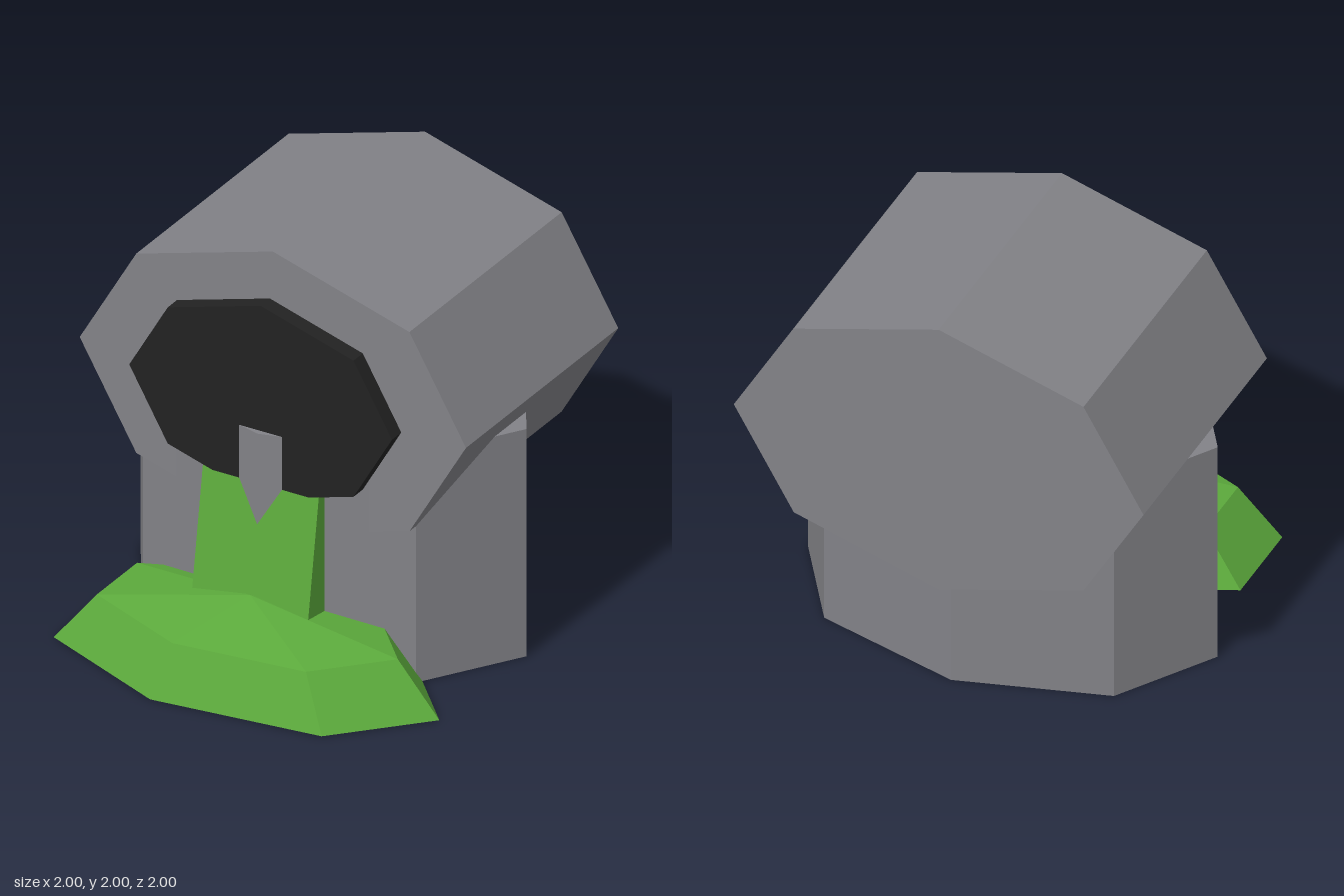
import * as THREE from 'three';

function material(name, color) {
  const m = new THREE.MeshStandardMaterial({ color, flatShading: true });
  m.name = name;
  return m;
}

export function createModel() {
  const group = new THREE.Group();
  const stone = material('grey stone', 0x828287);
  const slime = material('green slime', 0x5caa3c);
  const dark = material('dark opening', 0x222222);

  function add(name, geometry, mat, x, y, z, parent = group) {
    const mesh = new THREE.Mesh(geometry, mat);
    mesh.name = name;
    mesh.position.set(x, y, z);
    parent.add(mesh);
    return mesh;
  }

  // Flattened octagonal prism lying along z
  const lyingPrism = (rx, ry, depth) =>
    new THREE.CylinderGeometry(1, 1, depth, 8).rotateX(Math.PI / 2).scale(rx, ry, 1);

  // Pipe and its dark mouth
  add('pipe', lyingPrism(1, 0.71, 1.305), stone, 0, 1.29, -0.3475);
  add('pipeMouth', lyingPrism(0.68, 0.485, 0.08), dark, 0, 1.29, 0.37);

  // Upright support; its front corner pokes through the mouth
  add('pillar', new THREE.CylinderGeometry(1, 1, 1.145, 8).scale(1, 1, 0.655),
    stone, 0, 0.5725, -0.215);

  // Slime stream leaning back into the mouth
  const profile = new THREE.Shape([
    [0.2, 0.2], [0.517, 0.2], [0.357, 1.215], [0.2, 1.19],
  ].map(([z, y]) => new THREE.Vector2(z, y)));
  const stream = new THREE.ExtrudeGeometry(profile, { depth: 0.6, bevelEnabled: false });
  stream.rotateY(-Math.PI / 2);
  add('slimeStream', stream, slime, 0.3, 0, 0);

  // Seven-sided slime puddle: sloped rim and shallow peak
  const puddle = new THREE.Group();
  puddle.name = 'slimePuddle';
  puddle.position.z = 0.5;
  puddle.scale.z = 0.52;
  group.add(puddle);
  const ring = (top, bottom, height, open) =>
    new THREE.CylinderGeometry(top, bottom, height, 7, 1, open, Math.PI / 2);
  add('puddleRim', ring(0.765, 0.98, 0.247, false), slime, 0, 0.1265, 0, puddle);
  add('puddlePeak', ring(0, 0.765, 0.11, true), slime, 0, 0.305, 0, puddle);

  return group;
}
